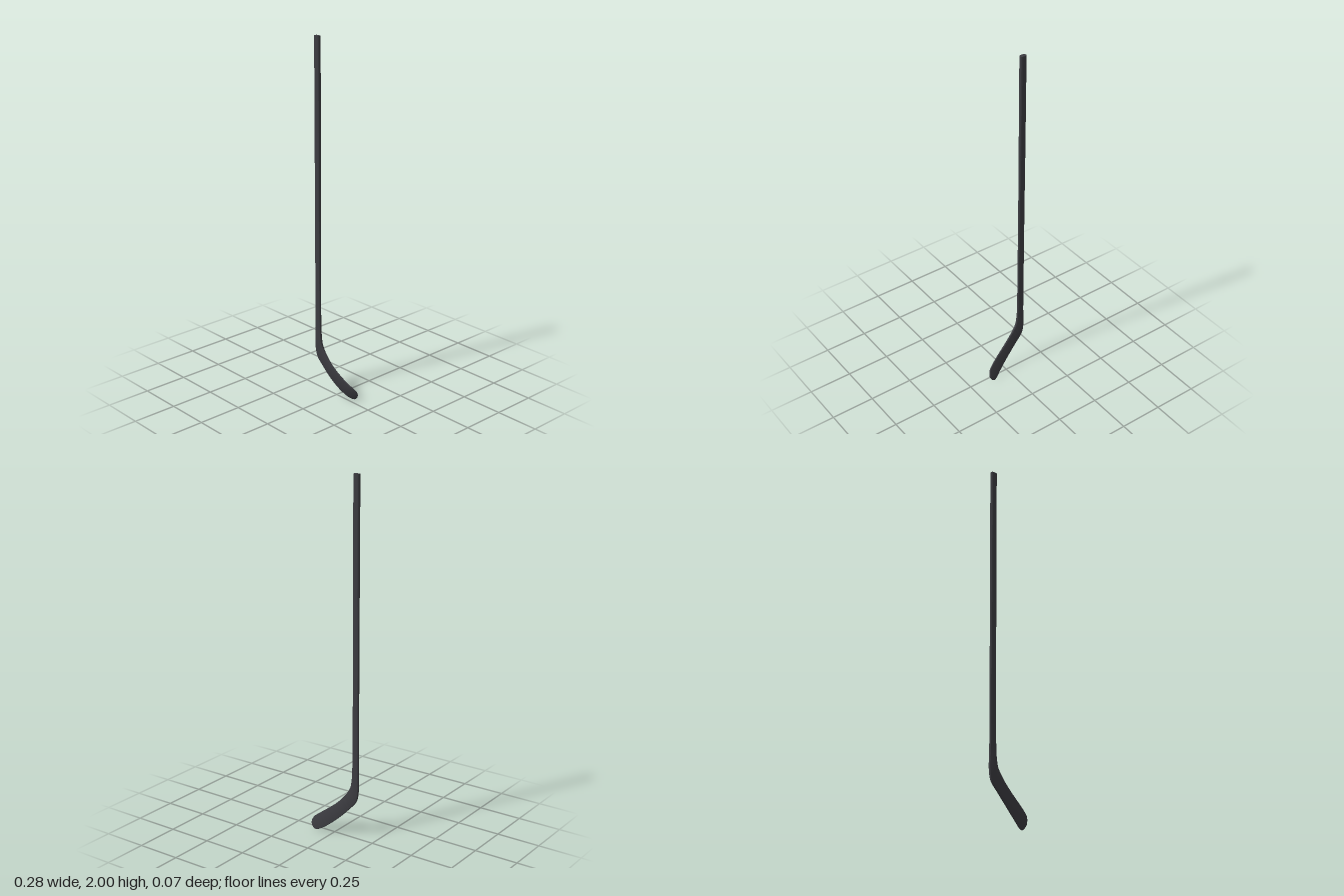
import * as THREE from 'three';
import { toCreasedNormals } from 'three/addons/utils/BufferGeometryUtils.js';

// Rounded rectangle, counter-clockwise, as [u, v] pairs
function roundedRect(w, h, r) {
  const pts = [];
  [[1, 1], [-1, 1], [-1, -1], [1, -1]].forEach(([sx, sy], c) => {
    for (let k = 0; k <= 3; k++) {
      const a = (c + k / 3) * Math.PI / 2;
      pts.push([sx * (w / 2 - r) + r * Math.cos(a), sy * (h / 2 - r) + r * Math.sin(a)]);
    }
  });
  return pts;
}

// Skin between two edge curves; each station is [heel edge xyz, inner edge xyz, thickness]
function loft(stations, steps, capStart, capEnd) {
  const edge = o => new THREE.CatmullRomCurve3(stations.map(s => new THREE.Vector3(s[o], s[o + 1], s[o + 2])));
  const edgeA = edge(0), edgeB = edge(3);
  const middle = t => edgeA.getPoint(t).add(edgeB.getPoint(t)).multiplyScalar(0.5);
  const pos = [], idx = [], N = 16;
  for (let i = 0; i <= steps; i++) {
    const t = i / steps, f = t * (stations.length - 1);
    const k = Math.min(Math.floor(f), stations.length - 2);
    const thick = THREE.MathUtils.lerp(stations[k][6], stations[k + 1][6], f - k);
    const u = edgeB.getPoint(t).sub(edgeA.getPoint(t)), width = u.length();
    u.normalize();
    const along = middle(Math.min(1, t + 0.01)).sub(middle(Math.max(0, t - 0.01)));
    const v = along.cross(u).normalize(), c = middle(t);
    for (const [a, b] of roundedRect(width, thick, Math.min(thick, width) * 0.32)) {
      const p = c.clone().addScaledVector(u, a).addScaledVector(v, b);
      pos.push(p.x, p.y, p.z);
    }
    if (i < steps) for (let j = 0; j < N; j++) {
      const a = i * N + j, b = i * N + (j + 1) % N;
      idx.push(a, b, b + N, a, b + N, a + N);
    }
  }
  const last = steps * N;
  for (let j = 1; j < N - 1; j++) {
    if (capStart) idx.push(0, j + 1, j);
    if (capEnd) idx.push(last, last + j, last + j + 1);
  }
  const g = new THREE.BufferGeometry();
  g.setAttribute('position', new THREE.Float32BufferAttribute(pos, 3));
  g.setIndex(idx);
  return toCreasedNormals(g, 0.7);
}

export function createModel() {
  const group = new THREE.Group();
  const material = new THREE.MeshStandardMaterial({ color: 0x3c3c41 });
  const add = (name, geometry) => {
    const mesh = new THREE.Mesh(geometry, material);
    mesh.name = name;
    group.add(mesh);
  };

  // Long straight shaft, thinning towards the blade
  const joint = [-0.137, 0.5, 0.028, -0.1, 0.5, 0.028, 0.014];
  add('shaft', loft([
    [-0.137, 2, 0.024, -0.102, 2, 0.024, 0.022],
    [-0.137, 1.5, 0.025, -0.102, 1.5, 0.025, 0.02],
    [-0.137, 1, 0.027, -0.102, 1, 0.027, 0.016],
    joint,
  ], 24, true, false));

  // Hosel bending into the curved, leaning blade with a rounded toe
  add('blade', loft([
    joint,
    [-0.137, 0.38, 0.028, -0.099, 0.39, 0.028, 0.014],
    [-0.137, 0.25, 0.027, -0.095, 0.32, 0.028, 0.014],
    [-0.125, 0.2, 0.025, -0.085, 0.275, 0.027, 0.013],
    [-0.08, 0.147, 0.021, -0.045, 0.215, 0.025, 0.011],
    [-0.04, 0.105, 0.016, 0, 0.168, 0.02, 0.01],
    [0, 0.067, 0.008, 0.04, 0.135, 0.013, 0.009],
    [0.04, 0.034, -0.004, 0.08, 0.105, 0.003, 0.008],
    [0.07, 0.013, -0.016, 0.11, 0.083, -0.007, 0.008],
    [0.09, 0.003, -0.026, 0.126, 0.069, -0.016, 0.007],
    [0.107, 0.001, -0.033, 0.134, 0.053, -0.025, 0.007],
    [0.12, 0.008, -0.035, 0.136, 0.04, -0.03, 0.006],
    [0.128, 0.018, -0.035, 0.136, 0.033, -0.032, 0.005],
  ], 96, false, true));
  return group;
}
